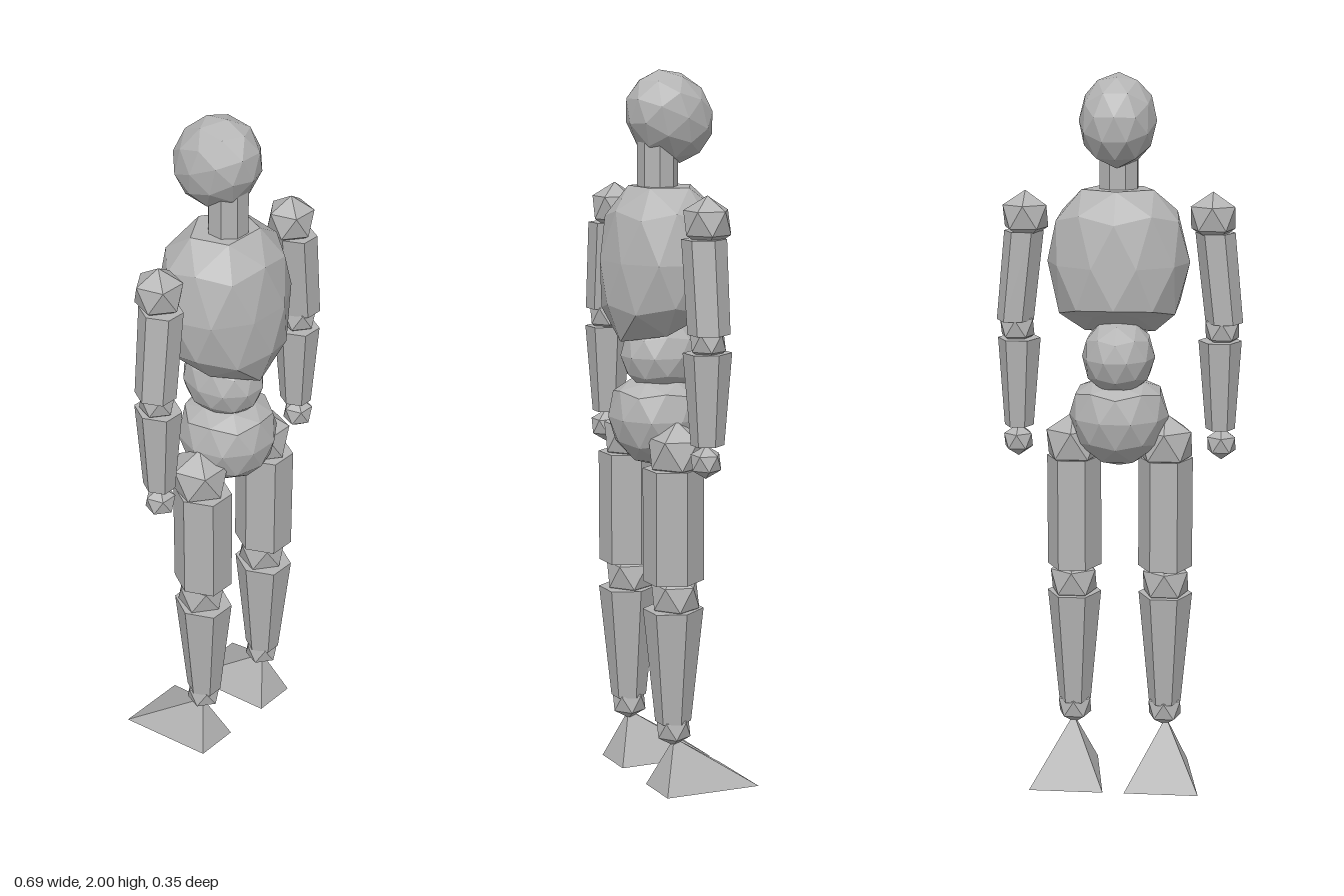
import * as THREE from 'three';
import { ConvexGeometry } from 'three/addons/geometries/ConvexGeometry.js';

export function createModel() {
  const model = new THREE.Group();
  model.name = 'jointedMannequin';
  const grey = new THREE.MeshStandardMaterial({ color: 0xb4b4b4 });
  grey.name = 'grey';

  function add(name, geometry, x = 0, y = 0, z = 0) {
    const g = geometry.index ? geometry.toNonIndexed() : geometry;
    g.computeVertexNormals(); // faceted
    const mesh = new THREE.Mesh(g, grey);
    mesh.name = name;
    mesh.position.set(x, y, z);
    model.add(mesh);
    return mesh;
  }

  // Unit icosphere with a vertex at the top and its neighbour towards -z
  function ico(detail) {
    return new THREE.IcosahedronGeometry(1, detail)
      .rotateZ(Math.atan(2 / (1 + Math.sqrt(5))))
      .rotateY(-Math.PI / 2);
  }

  // Move every vertex by a rule
  function reshape(geometry, rule) {
    const p = geometry.attributes.position;
    const v = new THREE.Vector3();
    for (let i = 0; i < p.count; i++) {
      rule(v.fromBufferAttribute(p, i));
      p.setXYZ(i, v.x, v.y, v.z);
    }
    return geometry;
  }

  // Six-sided tapered limb; leans sideways by dx from bottom to top
  function limb(rTop, rBottom, yTop, yBottom, dx = 0) {
    const h = yTop - yBottom;
    const g = new THREE.CylinderGeometry(rTop, rBottom, h, 6).rotateY(Math.PI / 2).scale(1, 1, 1.13);
    return reshape(g, (v) => { v.x += dx * (v.y / h); });
  }

  // Head, tilted egg
  add('head', ico(1).scale(0.106, 0.135, 0.118), 0, 1.876, -0.015).rotation.x = 0.75;

  // Neck
  add('neck', new THREE.CylinderGeometry(0.056, 0.056, 0.17, 8).rotateY(Math.PI / 8), 0, 1.755, 0.022);

  // Chest, flat on top and cut off by a sloping plane below
  add('chest', reshape(ico(1), (v) => {
    const t = Math.max(0, -v.y);
    v.x *= 0.197;
    v.z = v.z * 0.17 * (1 + 0.65 * t * t) + 0.007;
    v.y = Math.min(1.69, Math.max(1.49 + v.y * 0.26, 1.31 - 0.42 * v.z));
  }));

  // Belly ball
  add('belly', ico(1).scale(0.102, 0.11, 0.123), 0, 1.225, 0.005);

  // Pelvis, flat on top
  add('pelvis', reshape(ico(1).scale(0.14, 0.145, 0.14), (v) => { v.y = Math.min(v.y, 0.1); }), 0, 1.055, 0.022);

  for (const s of [1, -1]) {
    const side = s > 0 ? 'left' : 'right';
    const ball = (name, r, x, y, z) => add(side + name, ico(0).scale(r, r, r), s * x, y, z);

    // Arm
    ball('Shoulder', 0.071, 0.258, 1.612, 0.017);
    add(side + 'UpperArm', limb(0.055, 0.052, 1.57, 1.32, -0.027 * s), s * 0.278, 1.445, 0.03);
    ball('Elbow', 0.054, 0.286, 1.3, 0.03);
    add(side + 'Forearm', limb(0.06, 0.041, 1.27, 1.02, -0.003 * s), s * 0.282, 1.145, 0.028);
    ball('Hand', 0.046, 0.287, 0.975, 0.035);

    // Leg
    ball('Hip', 0.087, 0.13, 0.972, 0.035);
    add(side + 'Thigh', limb(0.077, 0.077, 0.93, 0.61), s * 0.13, 0.77, 0.045);
    ball('Knee', 0.075, 0.132, 0.566, 0.04);
    add(side + 'Shin', limb(0.077, 0.046, 0.53, 0.2), s * 0.131, 0.365, 0.046);
    ball('Ankle', 0.054, 0.131, 0.18, 0.045);

    // Foot, a pyramid widening towards the toes
    add(side + 'Foot', new ConvexGeometry([
      [0.135, 0.15, 0.045], [0.03, 0, -0.172], [0.24, 0, -0.172], [0.195, 0, 0.1], [0.07, 0, 0.1],
    ].map(([x, y, z]) => new THREE.Vector3(s * x, y, z))));
  }
  return model;
}
